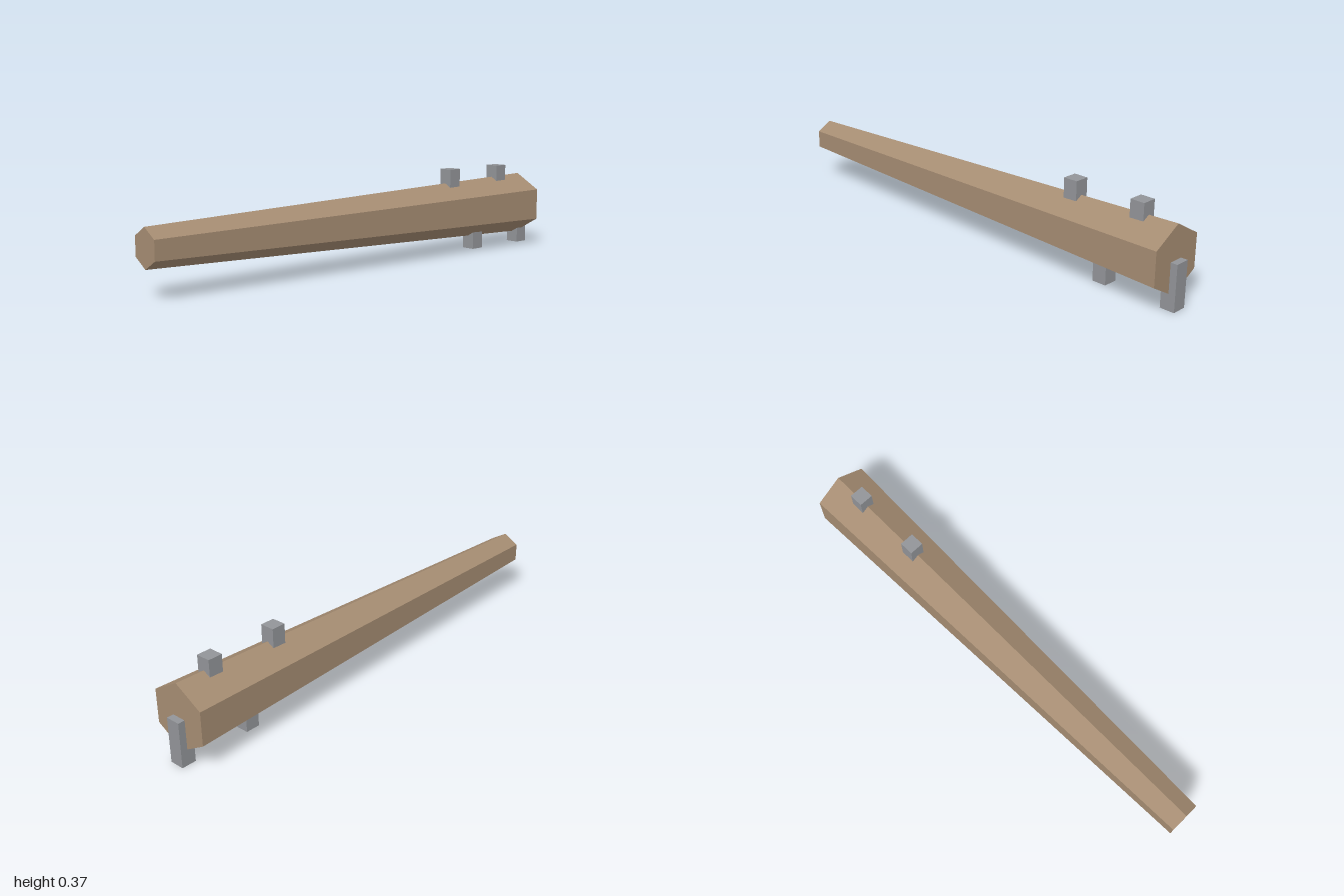
import * as THREE from 'three';

const wood = new THREE.MeshStandardMaterial({ color: 0xa58c72 });
wood.name = 'wood';
const metal = new THREE.MeshStandardMaterial({ color: 0x929498 });
metal.name = 'grey metal';

const AXIS_Y = 0.183;
const STUD = 0.06;

// Square stud running from the club's axis out to its tip
function stud(name, x, side) {
  const mesh = new THREE.Mesh(new THREE.BoxGeometry(STUD, AXIS_Y, STUD), metal);
  mesh.name = name;
  mesh.position.set(x, AXIS_Y + side * AXIS_Y / 2, 0);
  return mesh;
}

export function createModel() {
  const group = new THREE.Group();
  group.name = 'studdedClub';

  // Tapered six-sided shaft, thick end at +x, with an edge along the top
  const length = 1.97;
  const geometry = new THREE.CylinderGeometry(0.136, 0.075, length, 6, 1, false, Math.PI / 6)
    .toNonIndexed();
  geometry.computeVertexNormals();
  const shaft = new THREE.Mesh(geometry, wood);
  shaft.name = 'shaft';
  shaft.rotation.z = -Math.PI / 2;
  shaft.position.set(-1 + length / 2, AXIS_Y, 0);
  group.add(shaft);

  // Studs alternate between top and bottom towards the thick end
  [0.512, 0.664, 0.816, 0.968].forEach((x, i) => {
    const top = i % 2 === 0;
    group.add(stud(top ? 'topStud' : 'bottomStud', x, top ? 1 : -1));
  });

  return group;
}
